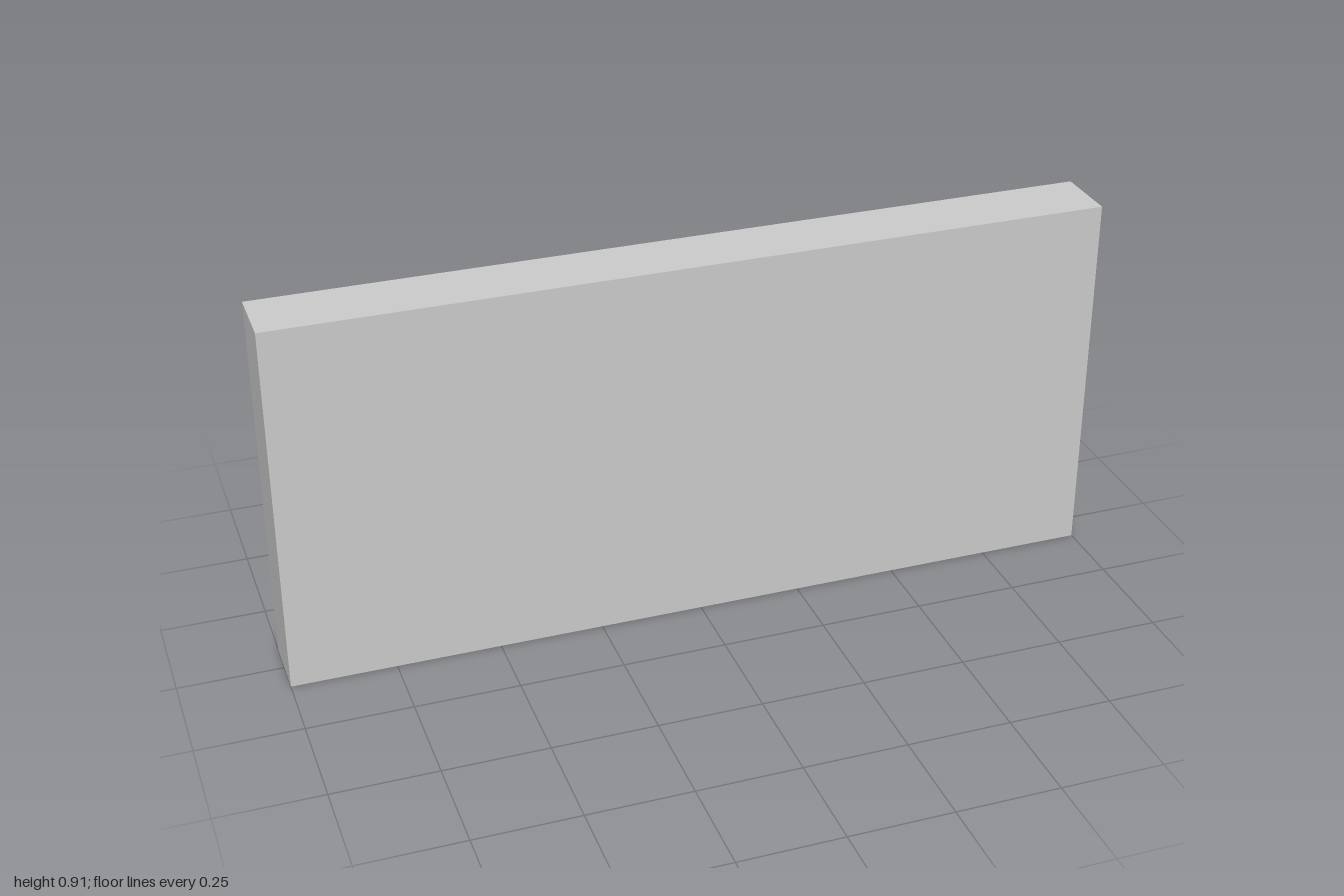
import * as THREE from 'three';

const W = 1, H = 0.91, BACK = -0.08, INNER = 0.065, FRONT = 0.08;
const LEFT = 0.81, RIGHT = -0.782; // inner side walls of the recess
const LEDGE_BACK = -0.073;

export function createModel() {
  const model = new THREE.Group();
  const material = new THREE.MeshStandardMaterial({ color: 0xcccccc, flatShading: true });

  function add(name, geometry) {
    const mesh = new THREE.Mesh(geometry, material);
    mesh.name = name;
    model.add(mesh);
    return mesh;
  }

  // Box given by its limits on each axis
  function box(name, x0, x1, y0, y1, z0, z1) {
    const g = new THREE.BoxGeometry(x1 - x0, y1 - y0, z1 - z0);
    g.translate((x0 + x1) / 2, (y0 + y1) / 2, (z0 + z1) / 2);
    return add(name, g);
  }

  // Rectangular plate with one rectangular hole, extruded along z
  function holedPlate(a0, a1, b0, b1, ha0, ha1, hb0, hb1, depth) {
    const rect = (target, l, r, b, t) =>
      target.moveTo(l, b).lineTo(r, b).lineTo(r, t).lineTo(l, t).closePath();
    const shape = rect(new THREE.Shape(), a0, a1, b0, b1);
    shape.holes.push(rect(new THREE.Path(), ha0, ha1, hb0, hb1));
    return new THREE.ExtrudeGeometry(shape, { depth, bevelEnabled: false });
  }

  // Front panel and horizontal rails
  box('frontPanel', -W, W, 0, H, INNER, FRONT);
  box('topRail', RIGHT, LEFT, 0.87, H, BACK, INNER);
  box('middleShelf', RIGHT, LEFT, 0.506, 0.533, BACK, INNER);
  box('bottomRail', RIGHT, LEFT, 0, 0.125, BACK, INNER);

  // Side posts, each with a shallow square niche facing the recess
  const niche = 0.05;
  function postLining(name, x, y0, y1) {
    const g = holedPlate(-INNER, -BACK, 0, H, -0.025, 0.025, y0, y1, niche);
    g.rotateY(Math.PI / 2).translate(x, 0, 0);
    add(name, g);
  }
  box('leftPost', LEFT + niche, W, 0, H, BACK, INNER);
  postLining('leftPostLining', LEFT, 0.39, 0.44);
  box('rightPost', -W, RIGHT - niche, 0, H, BACK, INNER);
  postLining('rightPostLining', RIGHT - niche, 0.735, 0.785);

  // End blocks against the side walls
  box('upperLeftBlock', 0.742, LEFT, 0.533, 0.598, LEDGE_BACK, INNER);
  box('lowerLeftBlock', 0.742, LEFT, 0.25, 0.365, LEDGE_BACK, INNER);
  box('upperRightBlock', RIGHT, -0.69, 0.655, 0.712, LEDGE_BACK, INNER);

  // Lower right block with a small pit in its top
  box('lowerRightBlock', RIGHT, -0.69, 0.175, 0.247, LEDGE_BACK, INNER);
  const pit = holedPlate(RIGHT, -0.69, -INNER, -LEDGE_BACK, -0.762, -0.707, -0.025, 0.025, 0.05);
  pit.rotateX(-Math.PI / 2).translate(0, 0.247, 0);
  add('lowerRightBlockPit', pit);

  // Upright partition
  box('partition', 0.35, 0.373, 0.57, 0.747, LEDGE_BACK, INNER);

  // Small ledges: [left edge x, top y]
  const ledges = {
    upperLedge: [[0.667, 0.614], [0.538, 0.664], [0.255, 0.698], [0.111, 0.643], [-0.018, 0.688], [-0.148, 0.736]],
    lowerLedge: [[0.66, 0.341], [0.549, 0.263], [0.373, 0.333], [0.231, 0.374], [0.055, 0.302], [-0.162, 0.255]],
  };
  for (const [name, list] of Object.entries(ledges))
    for (const [x, y] of list) box(name, x - 0.057, x, y - 0.012, y, LEDGE_BACK, INNER);

  return model;
}
